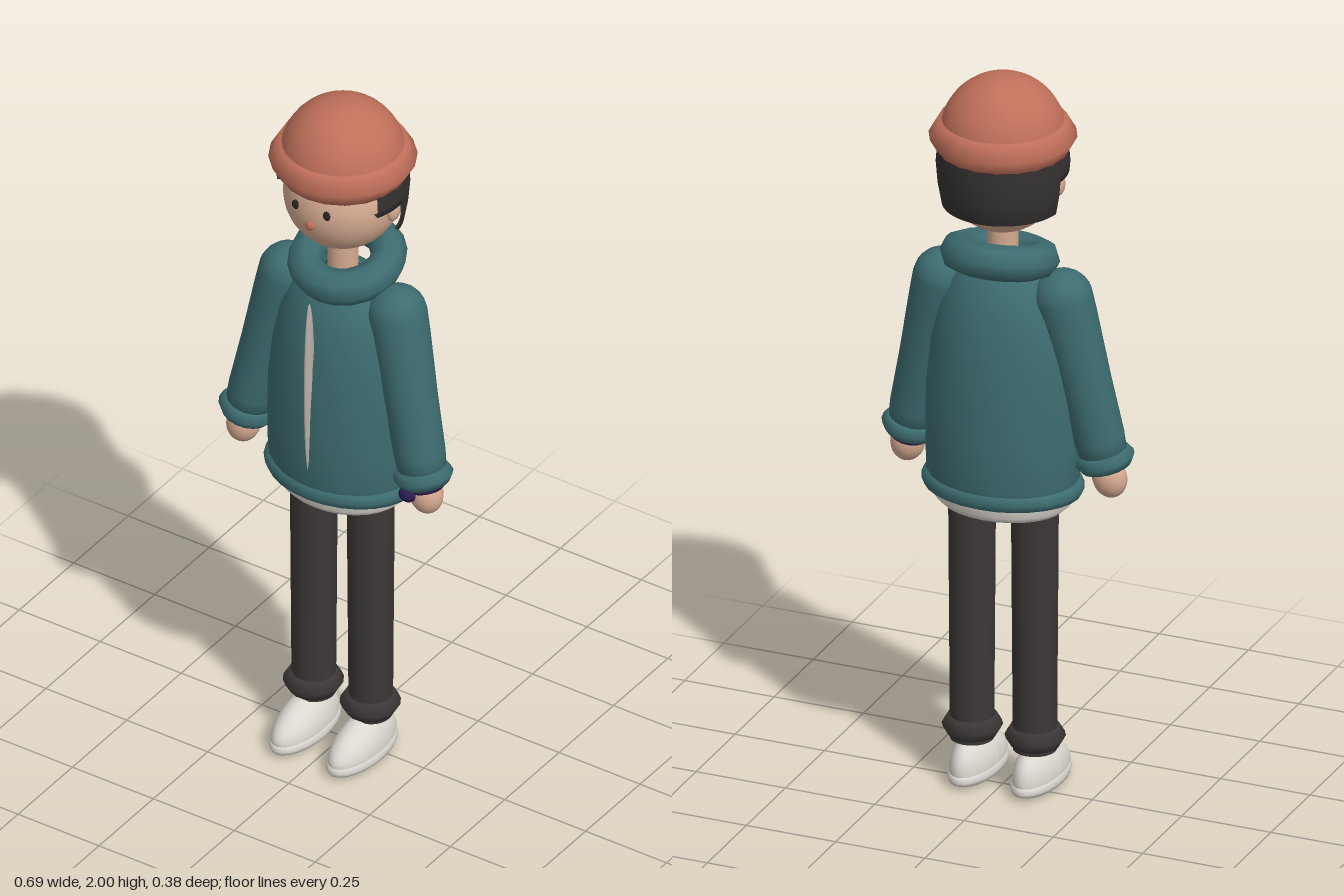
import * as THREE from 'three';

const mat = (name, color, side = THREE.FrontSide) => {
  const m = new THREE.MeshStandardMaterial({ color, side });
  m.name = name;
  return m;
};

export function createModel() {
  const root = new THREE.Group();
  root.name = 'standingFigure';

  const jacket = mat('teal jacket', 0x3d6c70, THREE.DoubleSide);
  const hat = mat('terracotta hat', 0xc0705a);
  const skin = mat('skin', 0xd6ab92);
  const hair = mat('dark hair', 0x353131, THREE.DoubleSide);
  const trousers = mat('charcoal trousers', 0x3c3737);
  const white = mat('off white', 0xdcd8d0);
  const zipGrey = mat('zip grey', 0xb9b1a8);
  const purple = mat('purple band', 0x2f1c50);
  const eyeDark = mat('eye dark', 0x2a2424);

  const add = (name, geo, material, x = 0, y = 0, z = 0, parent = root) => {
    const m = new THREE.Mesh(geo, material);
    m.name = name;
    m.position.set(x, y, z);
    parent.add(m);
    return m;
  };
  const ball = (rx, ry, rz, w = 24, h = 16) => new THREE.SphereGeometry(1, w, h).scale(rx, ry, rz);
  // Horizontal ring
  const ring = (R, r, sides = 6, segs = 20) => new THREE.TorusGeometry(R, r, sides, segs).rotateX(Math.PI / 2);
  // Profile listed from bottom to top
  const lathe = (pts, segs = 28, start = 0, len = Math.PI * 2) =>
    new THREE.LatheGeometry(pts.map(([r, y]) => new THREE.Vector2(r, y)), segs, start, len);

  // Head, neck and face
  add('head', ball(0.154, 0.156, 0.154, 32, 24), skin, 0, 1.727, 0);
  add('neck', new THREE.CylinderGeometry(0.04, 0.04, 0.18, 20), skin, 0, 1.52, 0);
  add('nose', ball(0.014, 0.014, 0.01, 12, 8), hat, 0, 1.70, 0.151);

  // Hair: long back shell and short sideburn shells
  const deg = Math.PI / 180;
  const backProfile = [[0.148, 1.652], [0.158, 1.645], [0.168, 1.70], [0.173, 1.76], [0.168, 1.82]];
  const sideProfile = [[0.152, 1.738], [0.171, 1.738], [0.173, 1.76], [0.168, 1.82]];
  add('backHair', lathe(backProfile, 20, 97 * deg, 166 * deg), hair);
  for (const s of [1, -1]) {
    add('sideburn', lathe(sideProfile, 6, (s > 0 ? 65 : 263) * deg, 32 * deg), hair);
    add('ear', ball(0.016, 0.032, 0.024, 14, 10), skin, s * 0.156, 1.722, 0);
    add('eye', ball(0.011, 0.014, 0.006, 12, 8), eyeDark, s * 0.048, 1.745, 0.146);
  }

  // Beanie
  add('hatDome', new THREE.SphereGeometry(0.163, 32, 14, 0, Math.PI * 2, 0, Math.PI / 2), hat, 0, 1.837, 0);
  add('hatBrim', ring(0.142, 0.05), hat, 0, 1.835, 0);

  // Jacket body, hem and tilted hood collar
  const body = lathe([[0.19, 0.86], [0.205, 0.89], [0.207, 1.0], [0.205, 1.12], [0.193, 1.25],
    [0.17, 1.36], [0.135, 1.43], [0.09, 1.475], [0.05, 1.485]]);
  add('jacketBody', body.scale(1, 1, 0.79), jacket);
  add('jacketHem', ring(0.193, 0.025, 8, 28).scale(1, 1, 0.77), jacket, 0, 0.86, 0);
  const collar = add('hoodCollar', ring(0.108, 0.048, 8, 20), jacket, 0, 1.502, -0.02);
  collar.rotation.x = 14 * deg;
  add('zip', ball(0.009, 0.268, 0.022, 10, 16), zipGrey, 0, 1.187, 0.155);

  // Undershirt rim and pelvis
  add('shirtRim', lathe([[0.12, 0.805], [0.165, 0.797], [0.184, 0.815], [0.186, 0.85]]).scale(1, 1, 0.78), white);
  add('pelvis', ball(0.155, 0.075, 0.11), trousers, 0, 0.857, 0);

  // Arms, each built along a slanted axis from wrist up to shoulder
  for (const s of [1, -1]) {
    const shoulder = new THREE.Vector3(s * 0.168, 1.405, 0);
    const wrist = new THREE.Vector3(s * 0.27, 0.955, 0.033);
    const axis = shoulder.clone().sub(wrist);
    const L = axis.length();
    const arm = new THREE.Group();
    arm.name = s > 0 ? 'leftArm' : 'rightArm';
    arm.position.copy(wrist);
    arm.quaternion.setFromUnitVectors(new THREE.Vector3(0, 1, 0), axis.normalize());
    root.add(arm);
    const sleeve = [[0.03, 0], [0.062, 0.005], [0.067, 0.06], [0.07, 0.22], [0.077, L - 0.06]];
    for (let i = 0; i <= 6; i++) {
      const a = (i / 6) * Math.PI / 2;
      sleeve.push([0.078 * Math.cos(a), L + 0.076 * Math.sin(a)]);
    }
    add('sleeve', lathe(sleeve, 20), jacket, 0, 0, 0, arm);
    add('sleeveCuff', ring(0.053, 0.026, 6, 18), jacket, 0, 0, 0, arm);
    add('hand', ball(0.046, 0.055, 0.042, 18, 14), skin, 0, -0.055, 0, arm);
    if (s > 0) {
      add('wristStrap', ring(0.045, 0.009, 6, 16), purple, 0, -0.03, 0, arm);
      add('wristCharm', ball(0.026, 0.02, 0.016, 8, 6), purple, 0.262, 0.922, 0.095);
    }
  }

  // Legs, trouser cuffs and shoes
  for (const s of [1, -1]) {
    const leg = new THREE.Group();
    leg.name = s > 0 ? 'leftLeg' : 'rightLeg';
    leg.position.x = s * 0.088;
    root.add(leg);
    add('trouserLeg', new THREE.CylinderGeometry(0.062, 0.057, 0.72, 20), trousers, 0, 0.475, 0.003, leg);
    add('trouserCuff', ring(0.048, 0.031, 6, 18), trousers, 0, 0.153, 0.005, leg);

    // Upper slopes down towards the toe
    const upper = ball(0.059, 0.085, 0.133, 24, 18);
    const p = upper.attributes.position;
    for (let i = 0; i < p.count; i++) {
      const t = THREE.MathUtils.clamp(p.getZ(i) / 0.133, -1, 1);
      const lift = t > 0 ? 1 - 0.25 * t : 1 + 0.35 * t * t;
      p.setY(i, p.getY(i) > 0 ? p.getY(i) * lift : p.getY(i) * 0.3);
    }
    upper.computeVertexNormals();
    add('shoeUpper', upper, white, 0, 0.038, 0.043, leg);
    const sole = lathe([[0, 0], [0.8, 0.003], [0.96, 0.012], [1, 0.022], [0.97, 0.036], [0.85, 0.044]], 24);
    add('shoeSole', sole.scale(0.063, 1, 0.138), white, 0, 0, 0.043, leg);
  }

  return root;
}
